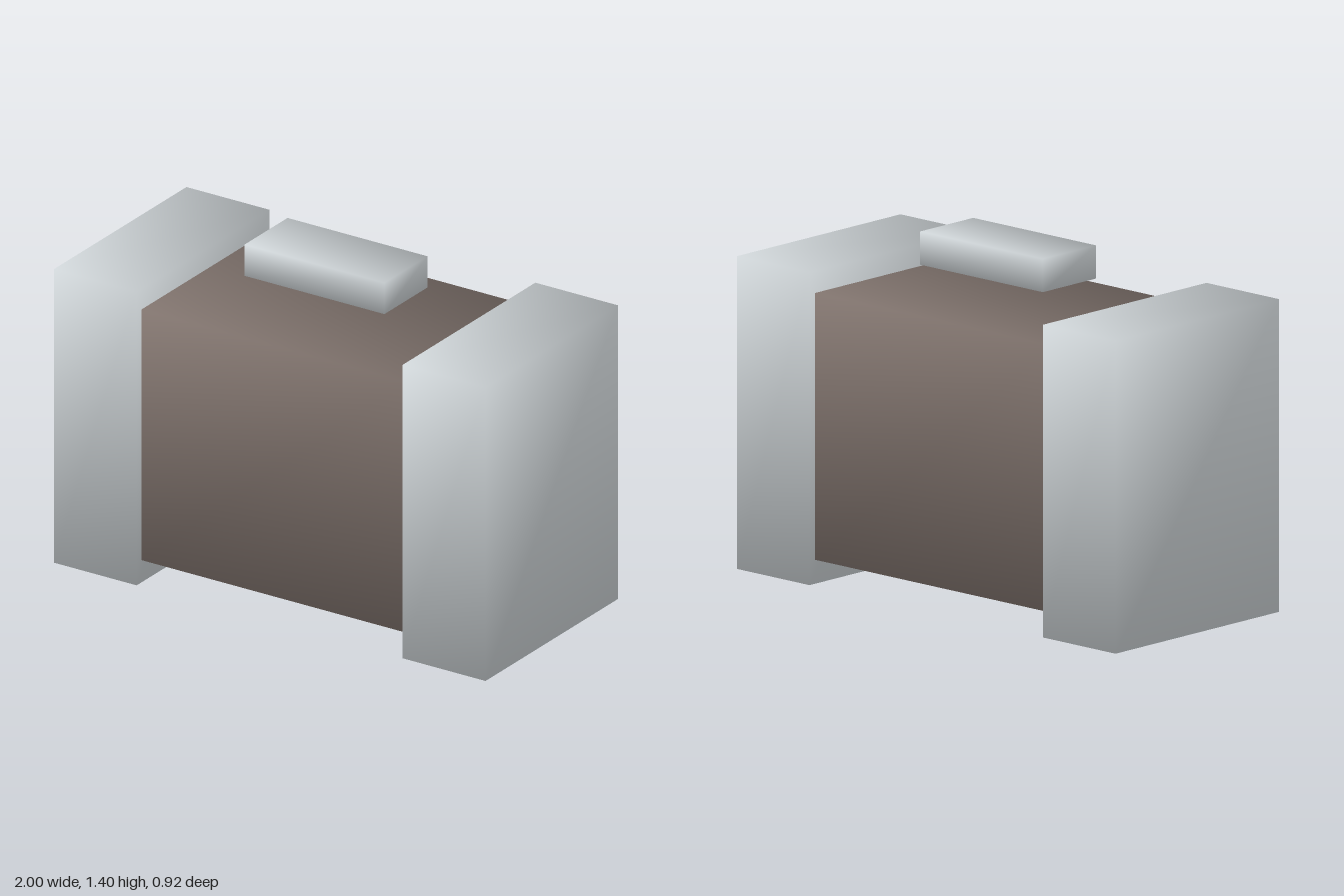
import * as THREE from 'three';
import { mergeVertices } from 'three/addons/utils/BufferGeometryUtils.js';

// Box with shared corners, so its normals blend smoothly across the edges
function softBox(w, h, d) {
  const box = new THREE.BoxGeometry(w, h, d);
  box.deleteAttribute('normal');
  box.deleteAttribute('uv');
  const geometry = mergeVertices(box);
  geometry.clearGroups();
  const p = geometry.attributes.position;
  const normals = new Float32Array(p.count * 3);
  const n = new THREE.Vector3();
  for (let i = 0; i < p.count; i++) {
    n.set(Math.sign(p.getX(i)), Math.sign(p.getY(i)), Math.sign(p.getZ(i))).normalize();
    n.toArray(normals, i * 3);
  }
  geometry.setAttribute('normal', new THREE.BufferAttribute(normals, 3));
  return geometry;
}

export function createModel() {
  const model = new THREE.Group();
  const paleGrey = new THREE.MeshStandardMaterial({ color: 0xd2d8db });
  paleGrey.name = 'paleGrey';
  const brown = new THREE.MeshStandardMaterial({ color: 0x82756f });
  brown.name = 'brown';

  const add = (name, material, size, x, y) => {
    const mesh = new THREE.Mesh(softBox(...size), material);
    mesh.name = name;
    mesh.position.set(x, y, 0);
    model.add(mesh);
  };

  // Central block between the two end blocks
  add('core', brown, [1.234, 1.06, 0.86], 0, 0.625);

  // Tall end blocks, mirrored
  for (const side of [-1, 1]) {
    add(side > 0 ? 'leftEnd' : 'rightEnd', paleGrey, [0.384, 1.242, 0.924], side * 0.808, 0.621);
  }

  // Small bar floating above the core
  add('topBar', paleGrey, [0.648, 0.132, 0.3], 0, 1.332);

  return model;
}
